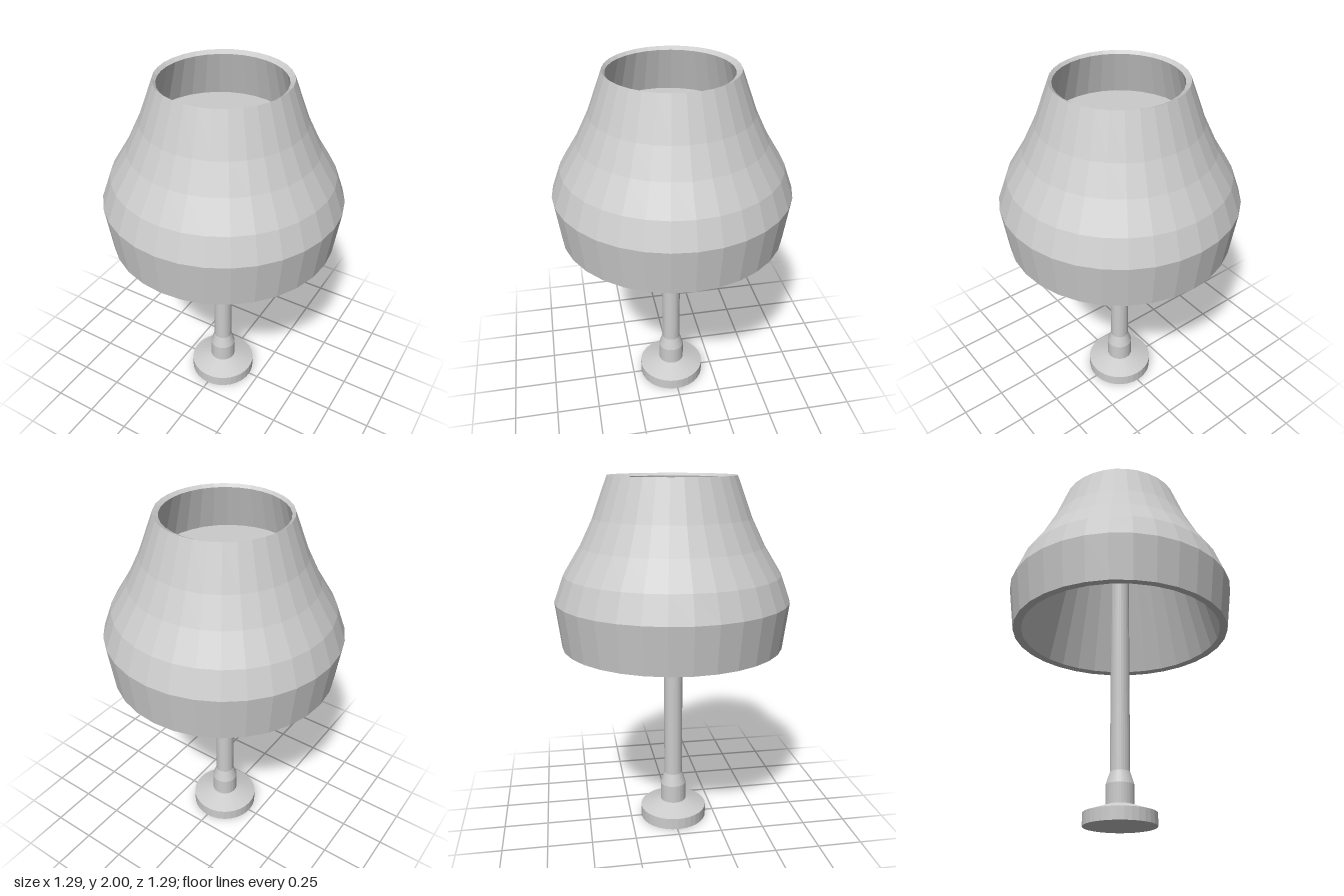
import * as THREE from 'three';

const SIDES = 32;

// Faceted solid of revolution from [radius, height] pairs, outside listed upwards
function turned(name, profile) {
  const points = profile.map(([r, y]) => new THREE.Vector2(r, y));
  const material = new THREE.MeshStandardMaterial({ color: 0xcccccc, flatShading: true });
  const mesh = new THREE.Mesh(new THREE.LatheGeometry(points, SIDES), material);
  mesh.name = name;
  return mesh;
}

export function createModel() {
  const lamp = new THREE.Group();
  lamp.name = 'tableLamp';

  // Hollow shade: curved outside, straight tapered inside, rim sloping inwards
  const shadeProfile = [
    [0.613, 1.086], [0.645, 1.342], [0.592, 1.485], [0.499, 1.635], [0.427, 1.782], [0.345, 2],
    [0.323, 1.985], [0.567, 1.086], [0.613, 1.086],
  ];
  const shade = turned('shade', shadeProfile);

  // The cavity sits slightly towards the front
  const corners = shade.geometry.attributes.position;
  for (let i = 0; i < corners.count; i++) {
    const ring = i % shadeProfile.length;
    if (ring === 6 || ring === 7) corners.setZ(i, corners.getZ(i) + 0.008);
  }
  lamp.add(shade);

  // Foot with a sloped top
  const foot = turned('foot', [[0, 0], [0.194, 0], [0.194, 0.067], [0.075, 0.107], [0, 0.107]]);

  // Collar tapering into the pole
  const collar = turned('collar', [[0.075, 0.1], [0.075, 0.213], [0.053, 0.281]]);

  // Pole reaching up to the plate inside the shade
  const pole = turned('pole', [[0.053, 0.281], [0.053, 1.74]]);

  const stand = new THREE.Group();
  stand.name = 'stand';
  stand.position.set(-0.002, 0, 0.006);
  stand.add(foot, collar, pole);
  lamp.add(stand);

  // Plate closing the shade below its upper opening
  const plate = turned('shadePlate', [[0, 1.735], [0.37, 1.735], [0.37, 1.753], [0, 1.753]]);
  plate.position.set(-0.014, 0, 0.018);
  lamp.add(plate);

  return lamp;
}
